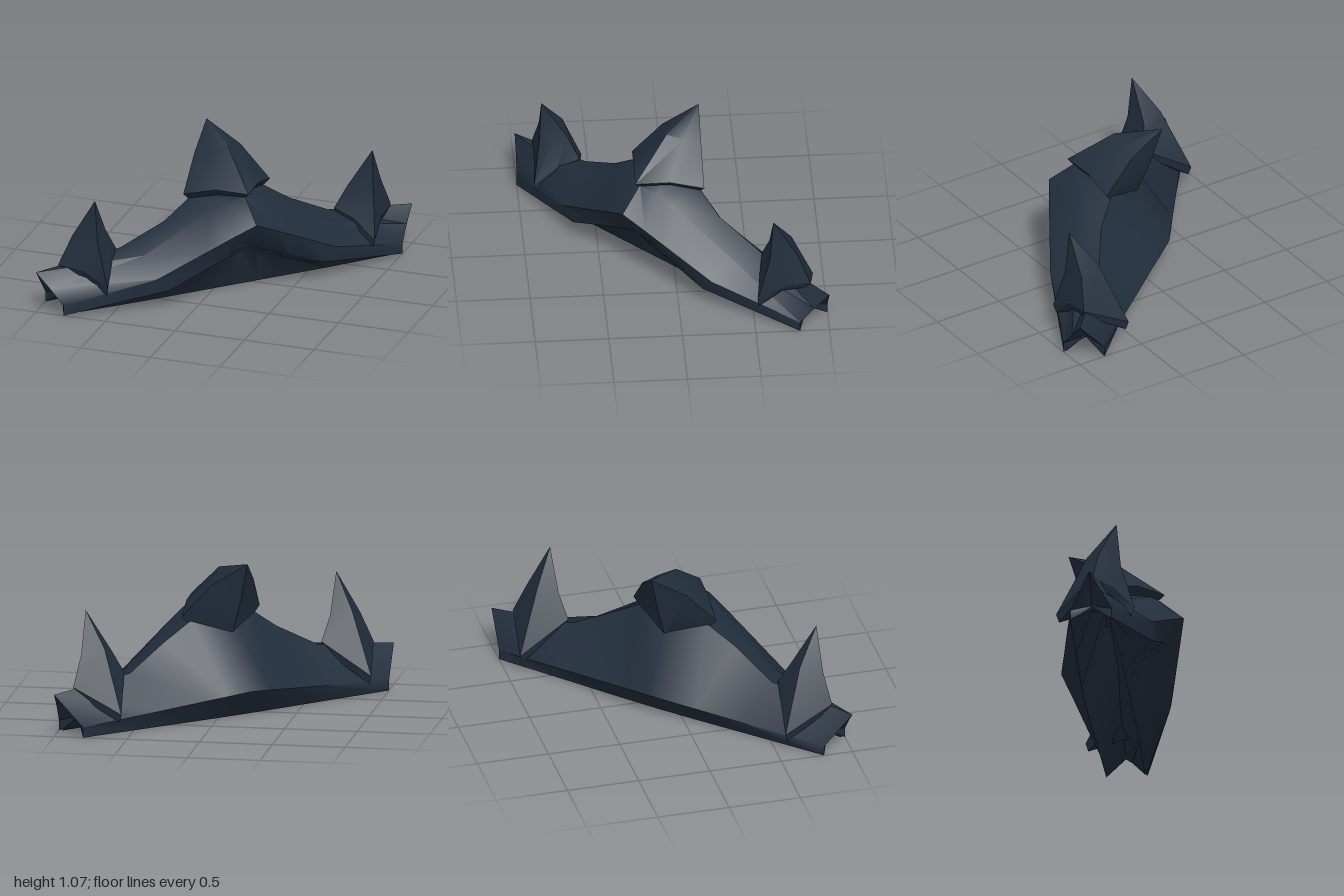
import * as THREE from 'three';
import { toCreasedNormals } from 'three/addons/utils/BufferGeometryUtils.js';

// Skin a stack of rings, closed by a tip point at each end.
// Rings run counter-clockwise seen from the side they advance towards.
function loft(rings, startTip, endTip, crease) {
  const out = [];
  const n = rings[0].length;
  const last = rings.length - 1;
  const tri = (a, b, c) => out.push(...a, ...b, ...c);
  for (let j = 0; j < n; j++) {
    const k = (j + 1) % n;
    tri(startTip, rings[0][k], rings[0][j]);
    for (let i = 0; i < last; i++) {
      const r = rings[i], s = rings[i + 1];
      tri(r[j], r[k], s[k]);
      tri(r[j], s[k], s[j]);
    }
    tri(endTip, rings[last][j], rings[last][k]);
  }
  const geo = new THREE.BufferGeometry();
  geo.setAttribute('position', new THREE.Float32BufferAttribute(out, 3));
  return toCreasedNormals(geo, crease);
}

const flip = ([x, y, z]) => [-x, y, z];

export function createModel() {
  const model = new THREE.Group();
  model.name = 'ornament';

  // The piece lies on the diagonal: local x runs along its length, local z to its arched side
  const diagonal = new THREE.Group();
  diagonal.name = 'diagonalAssembly';
  diagonal.rotation.y = Math.PI / 4;
  model.add(diagonal);

  const slate = new THREE.MeshStandardMaterial({ color: 0x222e3d });
  slate.name = 'dark slate blue';

  const add = (name, geometry) => {
    const mesh = new THREE.Mesh(geometry, slate);
    mesh.name = name;
    diagonal.add(mesh);
  };

  // Hollow body sections: back eave, ridge, shoulder, front eave, arch lip,
  // soffit, front foot, inner shoulder, inner ridge, back foot
  const centre = [
    [0, 0.19, -0.325], [0, 0.74, 0], [0, 0.72, 0.33], [0, 0.57, 0.51], [0, 0.38, 0.4],
    [0, 0.33, 0.27], [0, 0, 0.141], [0, 0.45, 0.18], [0, 0.62, 0], [0, 0, -0.17],
  ];
  const half = [
    [
      [0.18, 0.173, -0.3], [0.25, 0.66, 0.02], [0.13, 0.68, 0.3], [0.17, 0.49, 0.473], [0.15, 0.32, 0.389],
      [0.12, 0.28, 0.273], [0.18, 0, 0.141], [0.18, 0.4, 0.17], [0.25, 0.56, 0], [0.18, 0, -0.168],
    ],
    [
      [0.35, 0.157, -0.274], [0.47, 0.52, 0.05], [0.25, 0.62, 0.27], [0.34, 0.405, 0.435], [0.3, 0.26, 0.377],
      [0.23, 0.235, 0.275], [0.35, 0, 0.141], [0.35, 0.34, 0.17], [0.47, 0.43, 0.02], [0.35, 0, -0.165],
    ],
    [
      [0.7, 0.124, -0.225], [0.78, 0.36, 0], [0.69, 0.35, 0.18], [0.67, 0.24, 0.36], [0.58, 0.14, 0.354],
      [0.46, 0.14, 0.27], [0.7, 0, 0.141], [0.62, 0.24, 0.19], [0.78, 0.31, 0], [0.7, 0, -0.155],
    ],
    [
      [1.273, 0.07, -0.141], [1.414, 0.29, 0], [1.34, 0.18, 0.07], [1.273, 0.07, 0.141], [1.273, 0, 0.141],
      [1.265, 0.01, 0.135], [1.25, 0, 0.125], [1.23, 0.08, 0.04], [1.21, 0.1, 0], [1.273, 0, -0.141],
    ],
  ];
  const mirrored = half.map((ring) => ring.map(flip)).reverse();
  const notch = [1.22, 0.12, 0];
  add('archedBody', loft([...mirrored, centre, ...half], flip(notch), notch, 0.75));

  // Side spikes: lip, base and waist rings under a tip
  // (front, outer flank, outer, back, inner, inner flank)
  const spike = [
    [[1.0, 0.14, 0.25], [1.1, 0.25, 0.13], [1.23, 0.27, 0], [1.04, 0.09, -0.24], [0.84, 0.31, 0.01], [0.92, 0.26, 0.13]],
    [[1.004, 0.2, 0.27], [1.12, 0.3, 0.14], [1.25, 0.32, 0.007], [1.04, 0.15, -0.26], [0.82, 0.37, 0.014], [0.91, 0.32, 0.14]],
    [[1.036, 0.5, 0.18], [1.1, 0.515, 0.11], [1.16, 0.53, 0.04], [1.03, 0.57, -0.05], [0.91, 0.53, 0.04], [0.975, 0.515, 0.11]],
  ];
  const spikeFoot = [1.03, 0.16, 0];
  const spikeTip = [1.043, 0.805, 0.152];
  add('leftSpike', loft(spike, spikeFoot, spikeTip, 0.5));
  const otherSpike = spike.map((ring) => ring.map(flip).reverse());
  add('rightSpike', loft(otherSpike, flip(spikeFoot), flip(spikeTip), 0.5));

  // Central peak leaning back over the ridge: lip, base and waist rings under a tip
  const peakRing = (front, flank, side, back) => [front, flank, side, back, flip(side), flip(flank)];
  const peak = [
    peakRing([0, 0.72, 0.35], [0.15, 0.715, 0.19], [0.29, 0.65, 0.035], [0, 0.5, -0.09]),
    peakRing([0, 0.75, 0.38], [0.163, 0.75, 0.21], [0.325, 0.685, 0.04], [0, 0.55, -0.1]),
    peakRing([0, 0.99, 0.057], [0.09, 0.955, -0.01], [0.175, 0.91, -0.1], [0, 0.81, -0.2]),
  ];
  add('centralPeak', loft(peak, [0, 0.6, 0.1], [0, 1.065, -0.275], 1.1));

  return model;
}
